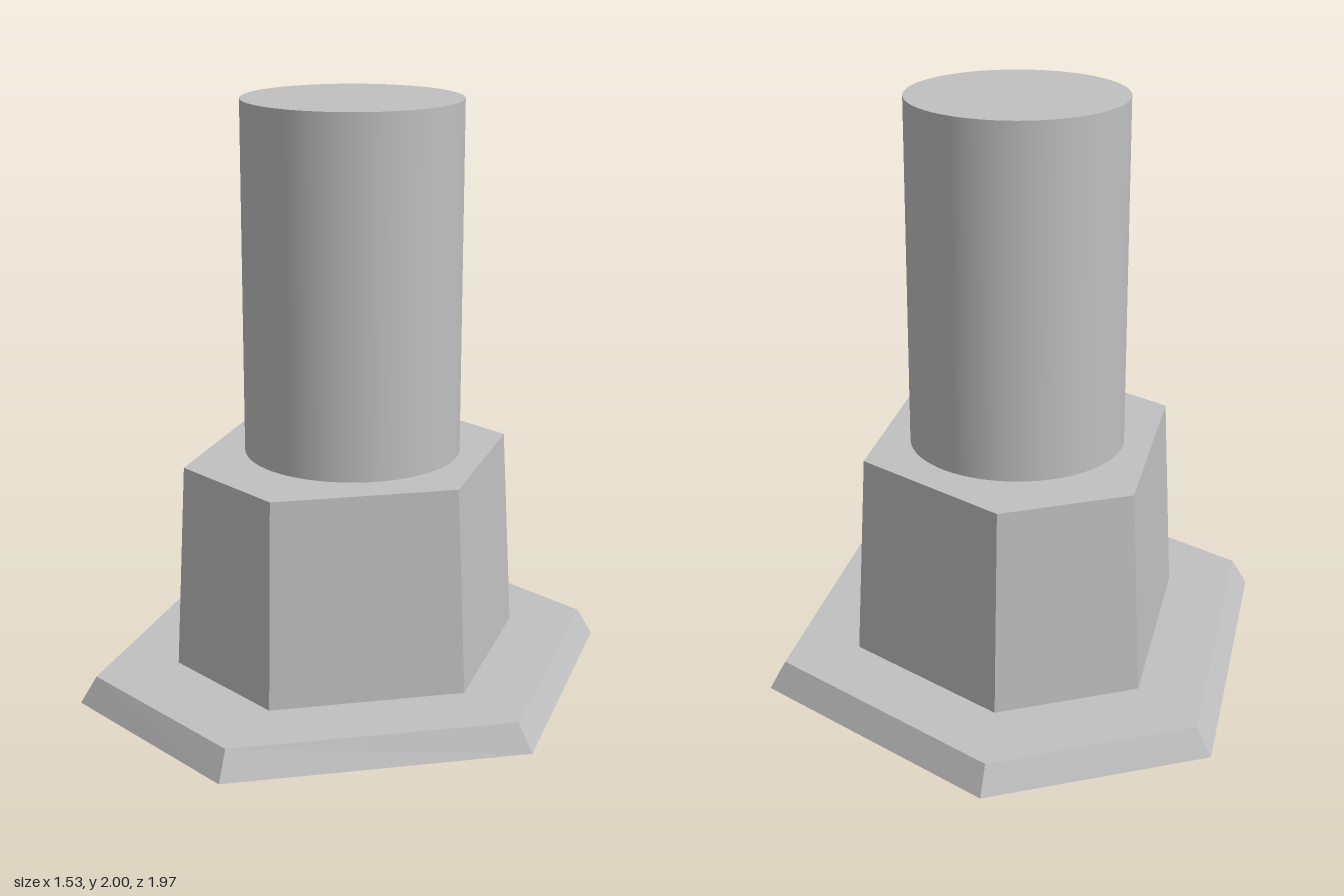
import * as THREE from 'three';

// Closed, flat-faced prism between two matching outlines of [x, z] corners
function taperedPrism(bottom, top, y0, y1) {
  const positions = [];
  const low = bottom.map(([x, z]) => [x, y0, z]);
  const high = top.map(([x, z]) => [x, y1, z]);
  const triangle = (a, b, c) => positions.push(...a, ...b, ...c);
  const n = low.length;
  for (let i = 0; i < n; i++) {
    const j = (i + 1) % n;
    triangle(low[i], high[i], high[j]);
    triangle(low[i], high[j], low[j]);
    if (i > 0 && i < n - 1) {
      triangle(high[0], high[j], high[i]);
      triangle(low[0], low[i], low[j]);
    }
  }
  const geometry = new THREE.BufferGeometry();
  geometry.setAttribute('position', new THREE.Float32BufferAttribute(positions, 3));
  geometry.computeVertexNormals();
  return geometry;
}

export function createModel() {
  const model = new THREE.Group();
  const grey = new THREE.MeshStandardMaterial({ color: 0xc0c0c0 });
  grey.name = 'light grey';

  const add = (name, geometry) => {
    const mesh = new THREE.Mesh(geometry, grey);
    mesh.name = name;
    model.add(mesh);
    return mesh;
  };

  // Irregular six-sided base with a bevelled rim
  add('basePlate', taperedPrism(
    [[-0.09, -0.988], [0.764, -0.503], [0.766, 0.489], [-0.112, 0.985], [-0.769, 0.608], [-0.769, -0.612]],
    [[-0.095, -0.938], [0.715, -0.477], [0.715, 0.473], [-0.11, 0.932], [-0.717, 0.587], [-0.717, -0.591]],
    0, 0.095));

  // Tapered six-sided block
  add('hexBlock', taperedPrism(
    [[-0.06, -0.645], [0.495, -0.327], [0.495, 0.321], [-0.073, 0.644], [-0.498, 0.398], [-0.498, -0.4]],
    [[-0.063, -0.61], [0.461, -0.308], [0.461, 0.309], [-0.074, 0.61], [-0.465, 0.383], [-0.465, -0.385]],
    0.095, 0.8));

  // Round shaft
  add('shaft', new THREE.CylinderGeometry(0.369, 0.369, 1.2, 64)).position.y = 1.4;

  return model;
}
